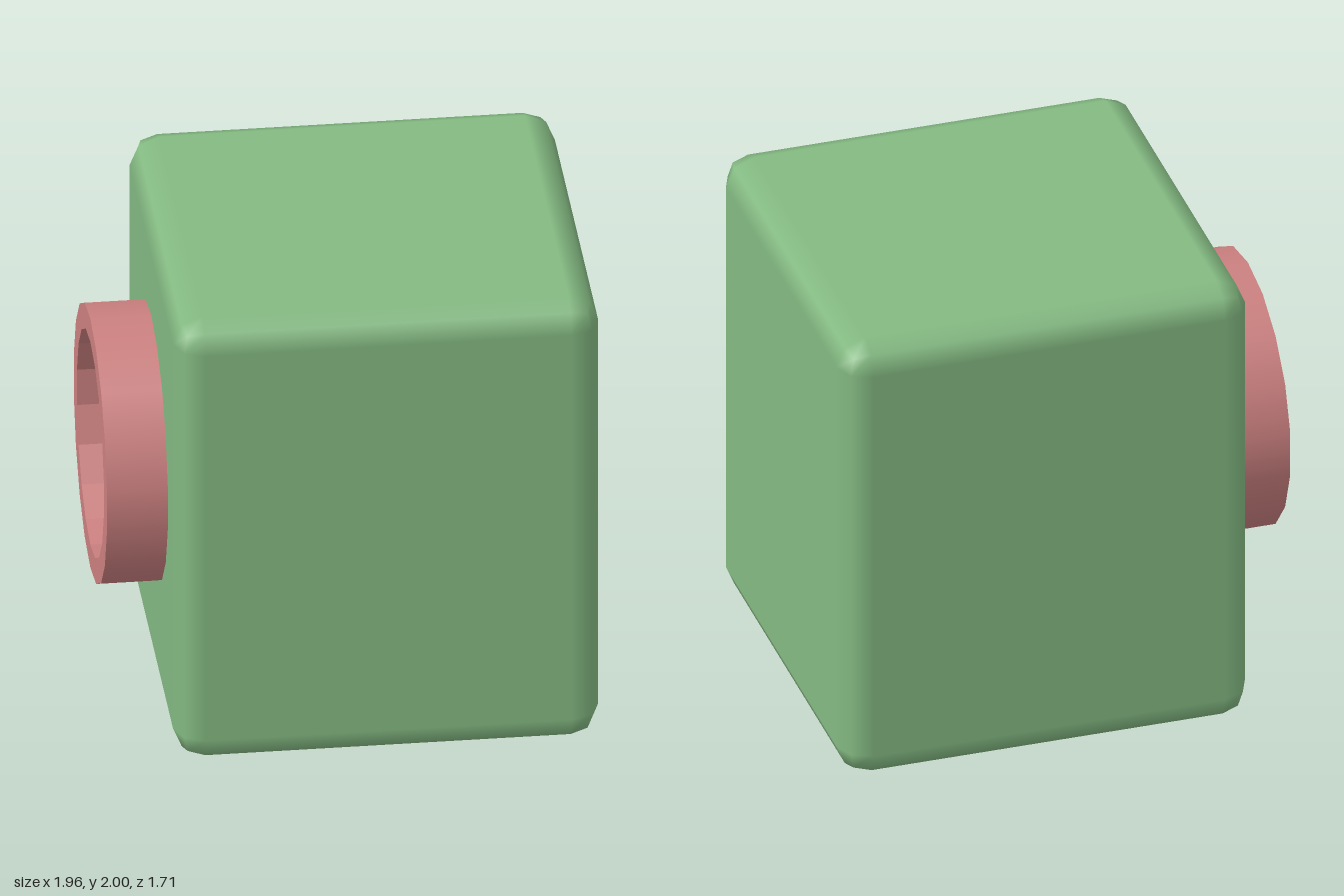
import * as THREE from 'three';
import { RoundedBoxGeometry } from 'three/addons/geometries/RoundedBoxGeometry.js';

const SIDES = 18;
const OUTER = 0.57, INNER = 0.465;   // ring radii
const BASE = 0.72, FRONT = 0.98;     // ring start and end along -x
const LENS = 0.815;                  // recessed lens position along -x

// Revolves [radius, distance along -x] points; ascending distance faces outward
function turned(points) {
  const geometry = new THREE.LatheGeometry(points.map(([r, d]) => new THREE.Vector2(r, d)), SIDES);
  geometry.rotateX(-Math.PI / 2);
  geometry.rotateY(Math.PI / 2);
  return geometry;
}

function part(name, geometry, color, flatShading = false) {
  const mesh = new THREE.Mesh(geometry, new THREE.MeshStandardMaterial({ color, flatShading }));
  mesh.name = name;
  return mesh;
}

export function createModel() {
  const model = new THREE.Group();
  model.name = 'boxWithRing';
  const green = 0x84ba82, pink = 0xcc8080, purple = 0xb284d2;

  // Softly bevelled box body
  const body = part('body', new RoundedBoxGeometry(1.71, 2, 1.71, 1, 0.12), green);
  body.position.set(0.12, 1, 0);
  model.add(body);

  // Ring on the right side with a recessed lens
  const port = new THREE.Group();
  port.name = 'port';
  port.position.y = 1.03;
  port.add(
    part('ringOutside', turned([[OUTER, BASE], [OUTER, FRONT]]), pink),
    part('ringRim', turned([[OUTER, FRONT], [INNER, FRONT]]), pink, true),
    part('ringInside', turned([[INNER, FRONT], [INNER, LENS]]), pink, true),
    part('lens', turned([[INNER, LENS], [0, LENS]]), purple, true),
  );
  model.add(port);

  return model;
}
